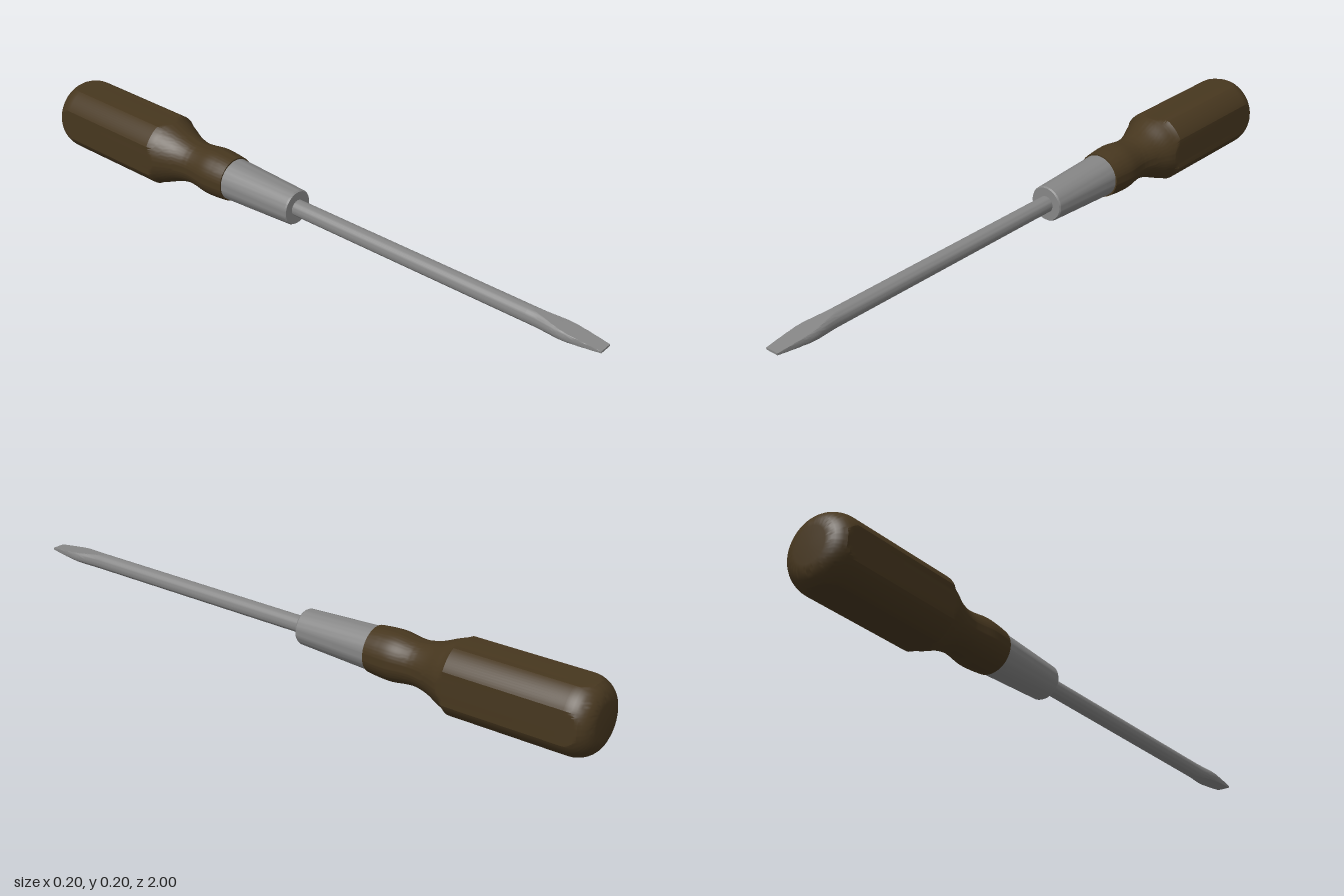
import * as THREE from 'three';
import { toCreasedNormals } from 'three/addons/utils/BufferGeometryUtils.js';

const AXIS_Y = 0.1;
const FLAT = 0.1; // half distance between opposite handle flats

// Surface of revolution along z from [radius, z] pairs, listed back to front
function turned(profile, segments) {
  const points = profile.map(([r, z]) => new THREE.Vector2(r, z));
  return new THREE.LatheGeometry(points, segments).rotateX(Math.PI / 2);
}

// Move every vertex with a rule (position in, position changed in place)
function reshape(geometry, rule) {
  const pos = geometry.attributes.position;
  const v = new THREE.Vector3();
  for (let i = 0; i < pos.count; i++) {
    rule(v.fromBufferAttribute(pos, i));
    pos.setXYZ(i, v.x, v.y, v.z);
  }
  return geometry;
}

function handleGeometry() {
  const profile = [[0, -1], [0.052, -1]];
  // rounded butt end
  for (let i = 1; i <= 10; i++) {
    const a = (i / 10) * Math.PI / 2;
    profile.push([0.052 + 0.06 * Math.sin(a), -1 + 0.07 * (1 - Math.cos(a))]);
  }
  profile.push([0.112, -0.572], [0.103, -0.558]);
  // shoulder, waist and collar
  const neck = new THREE.SplineCurve([
    [0.103, -0.558], [0.094, -0.535], [0.077, -0.495], [0.067, -0.45],
    [0.068, -0.415], [0.074, -0.37], [0.073, -0.33], [0.069, -0.29],
  ].map(([r, z]) => new THREE.Vector2(r, z)));
  neck.getPoints(28).slice(1).forEach((p) => profile.push([p.x, p.y]));
  profile.push([0, -0.29]);
  // four flats cut into the round grip
  const clip = (n) => THREE.MathUtils.clamp(n, -FLAT, FLAT);
  return reshape(turned(profile, 96), (v) => v.set(clip(v.x), clip(v.y), v.z));
}

function bladeGeometry() {
  const start = 0.77, end = 1, widest = 0.89;
  const geometry = new THREE.CylinderGeometry(1, 1, 1, 48, 24).rotateX(Math.PI / 2);
  // flare sideways, then narrow, while two flats wedge down to the tip
  return reshape(geometry, (v) => {
    const z = THREE.MathUtils.lerp(start, end, v.z + 0.5);
    const width = z < widest
      ? 0.025 + 0.008 * THREE.MathUtils.smoothstep(z, 0.79, widest)
      : THREE.MathUtils.mapLinear(z, widest, end, 0.033, 0.021);
    const half = THREE.MathUtils.mapLinear(z, start, end, 0.026, 0.003);
    v.set(v.x * width, THREE.MathUtils.clamp(v.y * 0.025, -half, half), z);
  });
}

export function createModel() {
  const wood = new THREE.MeshStandardMaterial({ name: 'darkWood', color: 0x47371f });
  const steel = new THREE.MeshStandardMaterial({ name: 'steel', color: 0x868686 });

  const group = new THREE.Group();
  group.name = 'screwdriver';
  const add = (name, geometry, material) => {
    const mesh = new THREE.Mesh(toCreasedNormals(geometry, 0.36), material);
    mesh.name = name;
    mesh.position.y = AXIS_Y;
    group.add(mesh);
  };

  add('handle', handleGeometry(), wood);
  add('ferrule', turned([
    [0, -0.292], [0.065, -0.292], [0.054, -0.045], [0.051, -0.04], [0, -0.04],
  ], 48), steel);
  add('shaft', turned([[0.025, -0.05], [0.025, 0.77]], 48), steel);
  add('blade', bladeGeometry(), steel);
  return group;
}
